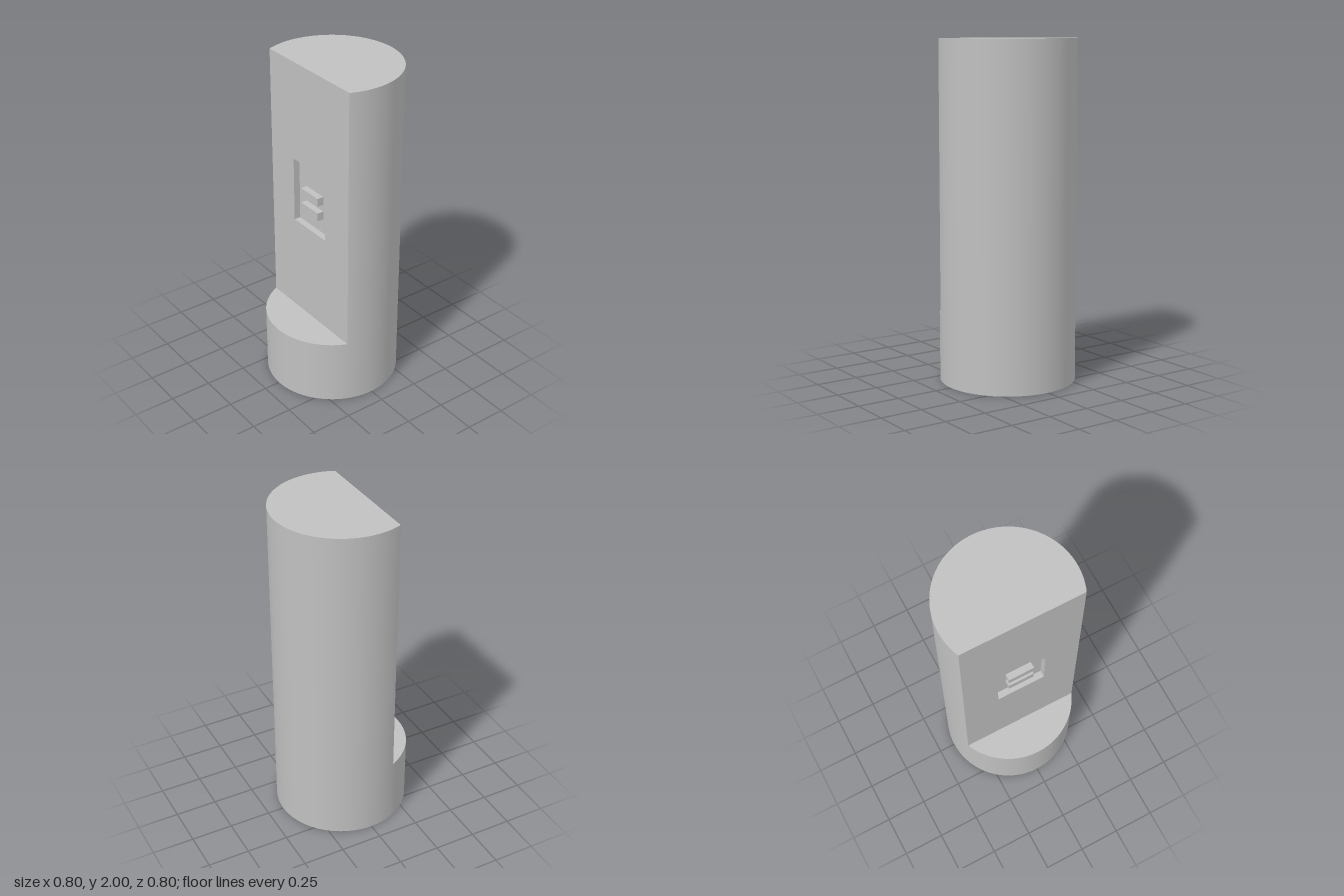
import * as THREE from 'three';

const R = 0.4, HEIGHT = 2, LEDGE = 0.4; // column radius, full height, ledge height
const FACE_Z = 0.16, DEPTH = 0.04;      // flat front face and pocket depth
const HALF = Math.acos(FACE_Z / R);     // half angle of the cut-away front
const EDGE = R * Math.sin(HALF);        // half width of the flat face
const BACK = 2 * Math.PI - 2 * HALF;

export function createModel() {
  const group = new THREE.Group();
  const grey = new THREE.MeshStandardMaterial({ color: 0xc0c0c0 });
  grey.name = 'grey';

  const add = (name, geometry, x = 0, y = 0, z = 0) => {
    const mesh = new THREE.Mesh(geometry, grey);
    mesh.name = name;
    mesh.position.set(x, y, z);
    group.add(mesh);
  };

  // Curved wall, angles measured from the front
  const wall = (height, segments, start, length) =>
    new THREE.CylinderGeometry(R, R, height, segments, 1, true, start, length);

  // Flat circle segment facing up, matching a curved wall
  const cap = (segments, start, length) => {
    const points = [];
    for (let i = 0; i <= segments; i++) {
      const a = start + (length * i) / segments;
      points.push(new THREE.Vector2(R * Math.sin(a), -R * Math.cos(a)));
    }
    return new THREE.ShapeGeometry(new THREE.Shape(points)).rotateX(-Math.PI / 2);
  };

  // Column: tall back, low front, flat ends
  add('backWall', wall(HEIGHT, 80, HALF, BACK), 0, HEIGHT / 2);
  add('baseFrontWall', wall(LEDGE, 48, -HALF, 2 * HALF), 0, LEDGE / 2);
  add('topCap', cap(80, HALF, BACK), 0, HEIGHT);
  add('ledge', cap(48, -HALF, 2 * HALF), 0, LEDGE);
  add('underside', new THREE.CircleGeometry(R, 128).rotateX(Math.PI / 2));

  // Pocket outline with a clipped corner, counter-clockwise
  const outline = [[-0.15, 1], [0.15, 1], [0.15, 1.295], [0.05, 1.4], [-0.15, 1.4]]
    .map(([x, y]) => new THREE.Vector2(x, y));

  // Flat front face with the pocket cut out
  const face = new THREE.Shape([
    new THREE.Vector2(-EDGE, LEDGE), new THREE.Vector2(EDGE, LEDGE),
    new THREE.Vector2(EDGE, HEIGHT), new THREE.Vector2(-EDGE, HEIGHT),
  ]);
  face.holes.push(new THREE.Path(outline));
  add('frontFace', new THREE.ShapeGeometry(face), 0, 0, FACE_Z);
  add('pocketFloor', new THREE.ShapeGeometry(new THREE.Shape(outline)), 0, 0, FACE_Z - DEPTH);

  // Pocket walls, one inward-facing quad per outline edge
  const positions = [];
  outline.forEach((p, i) => {
    const q = outline[(i + 1) % outline.length];
    const back = FACE_Z - DEPTH;
    positions.push(
      p.x, p.y, FACE_Z, q.x, q.y, FACE_Z, q.x, q.y, back,
      p.x, p.y, FACE_Z, q.x, q.y, back, p.x, p.y, back);
  });
  const walls = new THREE.BufferGeometry();
  walls.setAttribute('position', new THREE.Float32BufferAttribute(positions, 3));
  walls.computeVertexNormals();
  add('pocketWalls', walls);

  // Two raised bars, flush with the front face
  for (const [name, y] of [['lowerBar', 1.12], ['upperBar', 1.215]]) {
    add(name, new THREE.BoxGeometry(0.16, 0.05, DEPTH), 0, y, FACE_Z - DEPTH / 2);
  }

  return group;
}
